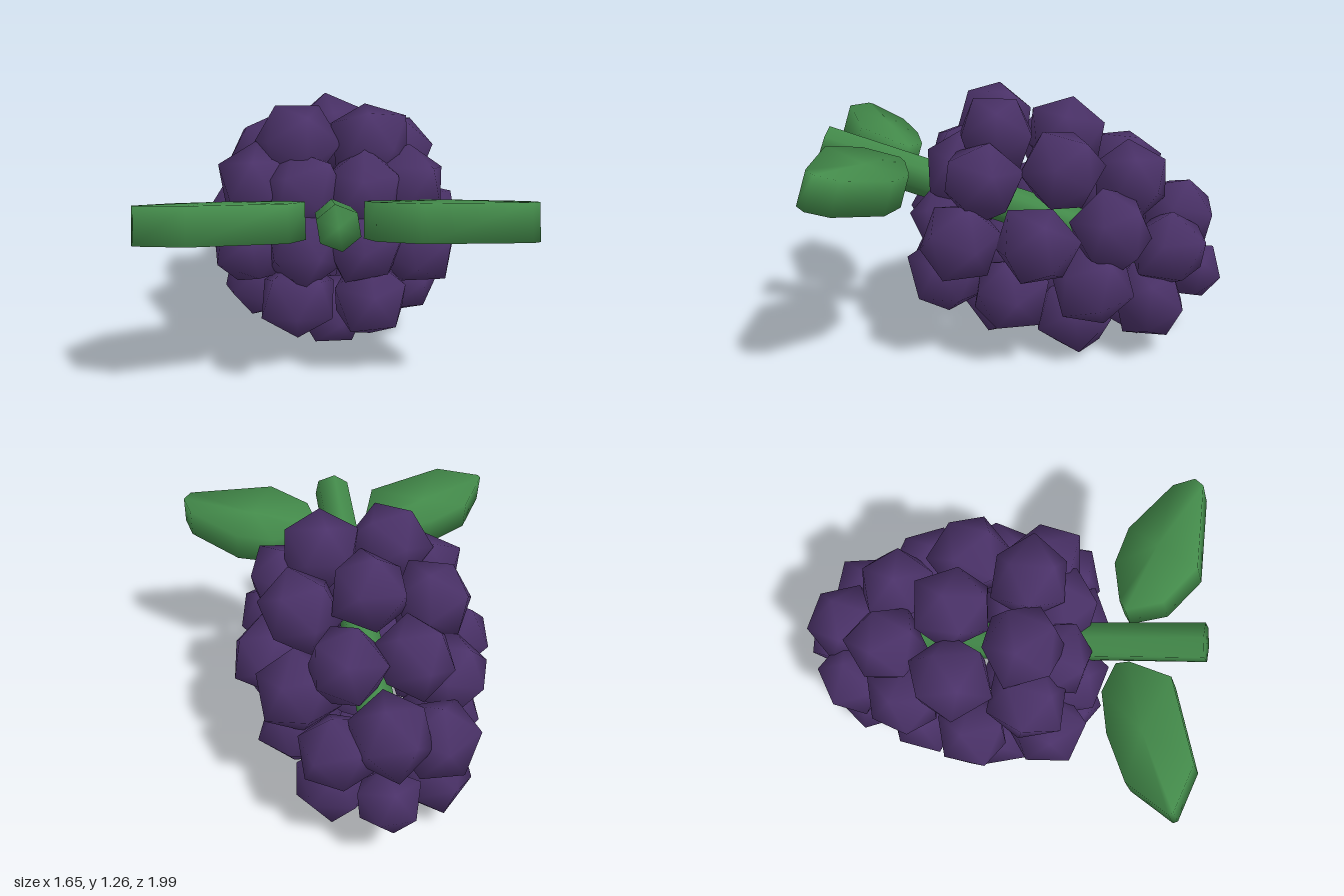
import * as THREE from 'three';
import { mergeVertices } from 'three/addons/utils/BufferGeometryUtils.js';

const purple = new THREE.MeshStandardMaterial({ color: 0x4b3269 });
purple.name = 'berryPurple';
const green = new THREE.MeshStandardMaterial({ color: 0x438a4a });
green.name = 'leafGreen';

let seed = 7;
const rnd = () => (seed = (seed * 16807) % 2147483647) / 2147483647;

// Weld the corners so the low-poly shape shades smoothly
function smooth(geo) {
  geo.deleteAttribute('normal');
  geo.deleteAttribute('uv');
  const merged = mergeVertices(geo, 1e-4);
  merged.computeVertexNormals();
  return merged;
}

// One lumpy, low-poly drupelet
function drupelet(x, y, z, r) {
  const geo = smooth(new THREE.IcosahedronGeometry(r, 0));
  const p = geo.attributes.position;
  for (let i = 0; i < p.count; i++) {
    const k = 0.92 + rnd() * 0.2;
    p.setXYZ(i, p.getX(i) * k, p.getY(i) * k, p.getZ(i) * k);
  }
  geo.computeVertexNormals();
  const mesh = new THREE.Mesh(geo, purple);
  mesh.name = 'drupelet';
  mesh.position.set(x, y, z);
  mesh.rotation.set(rnd() * 6, rnd() * 6, rnd() * 6);
  return mesh;
}

// Thick leaf: outline lofted from a top centre over the rim to a bottom centre, on a tilted plane
function leaf(outline, name) {
  const n = outline.length, pos = [], idx = [];
  const cx = outline.reduce((s, p) => s + p[0], 0) / n;
  const cz = outline.reduce((s, p) => s + p[1], 0) / n;
  const rings = [[0, 0.085], [0.99, 0.078], [1, -0.078], [0, -0.085]];
  for (const [k, h] of rings) {
    for (const [x, z] of outline) {
      const px = cx + (x - cx) * k, pz = cz + (z - cz) * k;
      pos.push(px, 0.875 + 0.34 * (pz - 0.57) + h, pz - h * 0.3);
    }
  }
  for (let r = 0; r < rings.length - 1; r++) {
    for (let i = 0; i < n; i++) {
      const a = r * n + i, b = r * n + (i + 1) % n, c = a + n, d = b + n;
      if (r > 0) idx.push(a, c, b);
      if (r < rings.length - 2) idx.push(b, c, d);
    }
  }
  const geo = new THREE.BufferGeometry();
  geo.setAttribute('position', new THREE.Float32BufferAttribute(pos, 3));
  geo.setIndex(idx);
  const mesh = new THREE.Mesh(smooth(geo), green);
  mesh.name = name;
  return mesh;
}

export function createModel() {
  const model = new THREE.Group();
  model.name = 'berry';

  // Drupelets: x > 0 entries are mirrored
  const fruit = new THREE.Group();
  fruit.name = 'fruit';
  const cells = [
    // stem end
    [0.14, 0.66, 0.36], [0.17, 0.39, 0.37], [0.39, 0.63, 0.29], [0.14, 0.91, 0.28], [0.35, 0.9, 0.19],
    // widest rings
    [0.17, 1.09, 0.13], [0.35, 0.35, 0.06], [0, 0.19, 0.11], [0.46, 0.63, -0.06],
    [0.32, 0.95, -0.18], [0, 1.05, -0.21], [0.19, 0.19, -0.25],
    // tapering rings
    [0.35, 0.39, -0.33], [0.36, 0.67, -0.41], [0.16, 0.86, -0.52],
    [0, 0.19, -0.57], [0.23, 0.27, -0.62], [0.23, 0.53, -0.7], [0, 0.65, -0.77],
  ];
  for (const [x, y, z] of cells) {
    fruit.add(drupelet(x, y, z, 0.195));
    if (x > 0) fruit.add(drupelet(-x, y, z, 0.195));
  }
  fruit.add(drupelet(0.02, 0.35, -0.86, 0.16));
  model.add(fruit);

  // Stem running through the middle of the fruit
  const from = new THREE.Vector3(0, 0.43, -0.7), to = new THREE.Vector3(0, 1.0, 0.97);
  const stemGeo = new THREE.CylinderGeometry(0.095, 0.095, from.distanceTo(to), 6);
  stemGeo.rotateY(0.15);
  const stem = new THREE.Mesh(smooth(stemGeo), green);
  stem.name = 'stem';
  stem.position.copy(from).lerp(to, 0.5);
  stem.quaternion.setFromUnitVectors(new THREE.Vector3(0, 1, 0), to.clone().sub(from).normalize());
  model.add(stem);

  // Leaves: x, z outlines, both running the same way round
  model.add(leaf([[0.12, 0.61], [0.16, 0.78], [0.34, 0.92], [0.78, 0.92], [0.82, 0.88],
    [0.79, 0.78], [0.56, 0.59], [0.37, 0.54], [0.17, 0.58]], 'leftLeaf'));
  model.add(leaf([[-0.13, 0.65], [-0.14, 0.59], [-0.28, 0.54], [-0.48, 0.58], [-0.7, 0.68],
    [-0.83, 0.87], [-0.82, 0.89], [-0.6, 0.96], [-0.2, 0.84]], 'rightLeaf'));
  return model;
}
